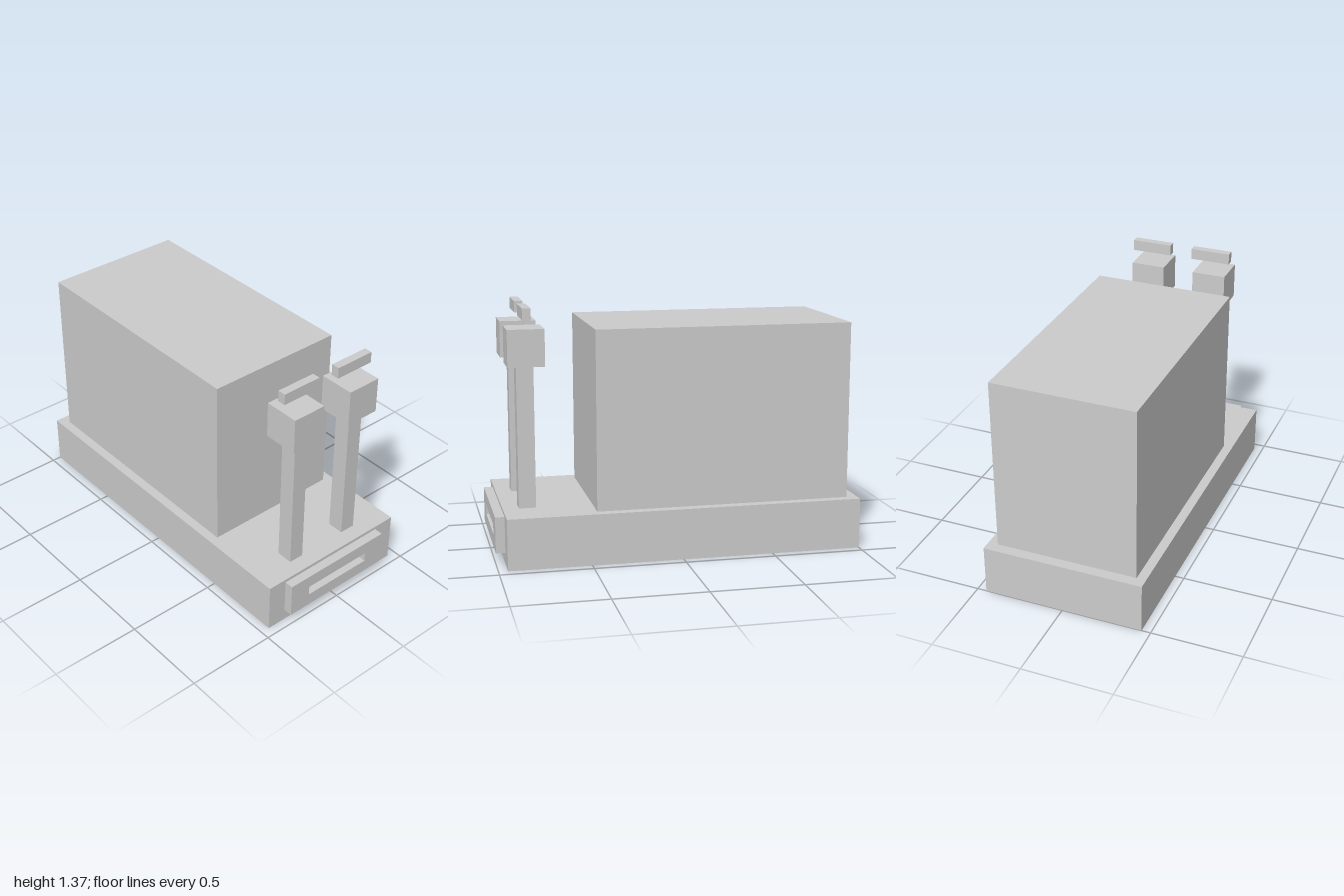
import * as THREE from 'three';

const material = new THREE.MeshStandardMaterial({ color: 0xcccccc, flatShading: true });

// Box given by its extents along each axis
function block(name, [x0, x1], [y0, y1], [z0, z1]) {
  const mesh = new THREE.Mesh(new THREE.BoxGeometry(x1 - x0, y1 - y0, z1 - z0), material);
  mesh.position.set((x0 + x1) / 2, (y0 + y1) / 2, (z0 + z1) / 2);
  mesh.name = name;
  return mesh;
}

// Corners of a rectangle, for outlines and holes
function rectangle(x0, x1, y0, y1) {
  return [[x0, y0], [x1, y0], [x1, y1], [x0, y1]].map(([x, y]) => new THREE.Vector2(x, y));
}

// Front plate with a horizontal slot cut through to the base
function slottedPlate() {
  const shape = new THREE.Shape(rectangle(-0.34, 0.325, 0.065, 0.262));
  shape.holes.push(new THREE.Path(rectangle(-0.213, 0.203, 0.136, 0.19).reverse()));
  const geometry = new THREE.ExtrudeGeometry(shape, { depth: 0.05, bevelEnabled: false });
  const mesh = new THREE.Mesh(geometry, material);
  mesh.position.z = 0.95;
  mesh.name = 'frontPlate';
  return mesh;
}

// Post carrying a square head, with a bar hovering above it
function controlColumn(name, postX, headX, barX) {
  const group = new THREE.Group();
  group.name = name;
  group.add(
    block('post', postX, [0.28, 1.053], [0.77, 0.863]),
    block('head', headX, [1.053, 1.253], [0.714, 0.912]),
    block('bar', barX, [1.303, 1.365], [0.787, 0.833]),
  );
  return group;
}

export function createModel() {
  const model = new THREE.Group();
  model.name = 'model';
  model.add(
    block('base', [-0.45, 0.448], [0, 0.28], [-1, 0.95]),
    block('cabinet', [-0.398, 0.394], [0.28, 1.255], [-0.94, 0.463]),
    slottedPlate(),
    controlColumn('rightColumn', [-0.228, -0.142], [-0.282, -0.087], [-0.282, -0.052]),
    controlColumn('leftColumn', [0.148, 0.238], [0.093, 0.289], [0.079, 0.31]),
  );
  return model;
}
